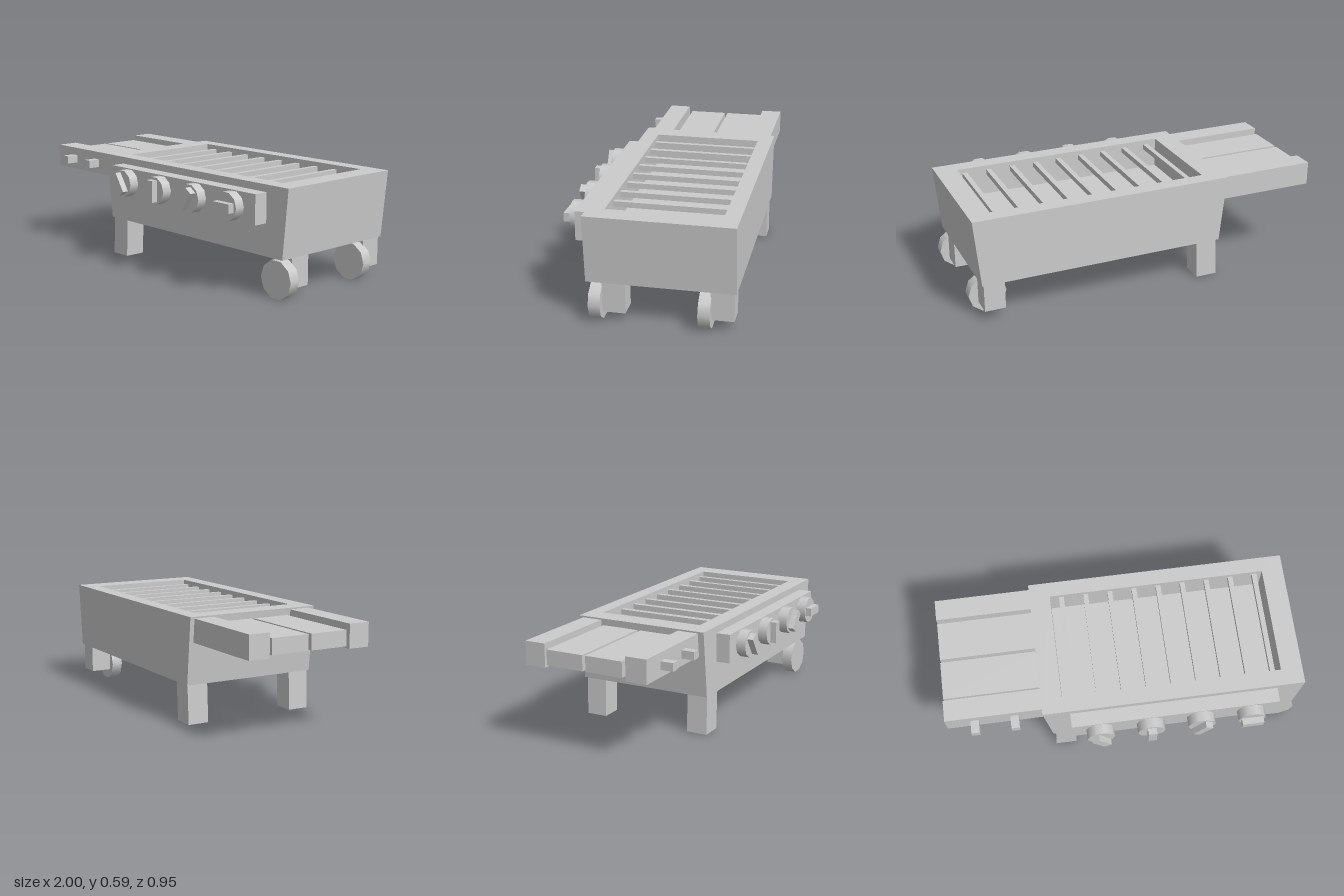
import * as THREE from 'three';

const material = new THREE.MeshStandardMaterial({ color: 0xcccccc });

function add(parent, name, geometry, x = 0, y = 0, z = 0) {
  const mesh = new THREE.Mesh(geometry, material);
  mesh.name = name;
  mesh.position.set(x, y, z);
  parent.add(mesh);
  return mesh;
}

// Box given by its extents on each axis
function block(parent, name, [x0, x1], [y0, y1], [z0, z1]) {
  return add(parent, name, new THREE.BoxGeometry(x1 - x0, y1 - y0, z1 - z0),
    (x0 + x1) / 2, (y0 + y1) / 2, (z0 + z1) / 2);
}

// Ten-sided disc facing the front, with a flat side on top
function disc(radius, depth) {
  return new THREE.CylinderGeometry(radius, radius, depth, 10, 1, false, Math.PI / 10)
    .rotateX(Math.PI / 2);
}

function rectangle(PathType, x0, x1, y0, y1) {
  return new PathType([[x0, y0], [x1, y0], [x1, y1], [x0, y1]]
    .map(([x, y]) => new THREE.Vector2(x, y)));
}

// Fire box: open rim whose ends slope inwards towards the bottom
function fireBoxGeometry() {
  const plan = rectangle(THREE.Shape, -0.465, 0.99, -0.305, 0.475);
  plan.holes.push(rectangle(THREE.Path, -0.35, 0.87, -0.215, 0.39));
  const geometry = new THREE.ExtrudeGeometry(plan, { depth: 0.372, bevelEnabled: false });
  geometry.rotateX(-Math.PI / 2).translate(0, 0.217, 0);
  const p = geometry.attributes.position;
  for (let i = 0; i < p.count; i++) {
    if (p.getY(i) > 0.3) continue;
    if (p.getX(i) < -0.4) p.setX(i, -0.425);
    if (p.getX(i) > 0.9) p.setX(i, 0.955);
  }
  geometry.computeVertexNormals();
  return geometry;
}

export function createModel() {
  const grill = new THREE.Group();
  grill.name = 'grill';

  // Body and cooking well
  add(grill, 'fireBox', fireBoxGeometry());
  block(grill, 'wellFloor', [-0.35, 0.87], [0.217, 0.42], [-0.39, 0.215]);
  for (let i = 0; i < 9; i++) {
    const x = -0.285 + i * 0.139;
    block(grill, 'grateBar', [x - 0.014, x + 0.014], [0.535, 0.565], [-0.39, 0.215]);
  }

  // Control panel with turned knobs
  block(grill, 'controlPanel', [-0.315, 0.84], [0.39, 0.55], [0.3, 0.385]);
  [0.58, 0, -0.62, Math.PI / 2].forEach((turn, i) => {
    const knob = new THREE.Group();
    knob.name = 'knob';
    knob.position.set(-0.16 + i * 0.281, 0.471, 0);
    add(knob, 'knobDisc', disc(0.077, 0.058), 0, 0, 0.411);
    const grip = block(knob, 'knobGrip', [-0.024, 0.024], [-0.06, 0.06], [0.43, 0.475]);
    grip.rotation.z = turn;
    grill.add(knob);
  });

  // Side table: two tall rails with lower planks between, and pegs in front
  for (const z of [[-0.45, -0.332], [0.15, 0.27]])
    block(grill, 'tableRail', [-1, -0.43], [0.45, 0.58], z);
  for (const z of [[-0.32, -0.103], [-0.085, 0.13]])
    block(grill, 'tablePlank', [-1, -0.43], [0.465, 0.55], z);
  for (const x of [-0.84, -0.62])
    block(grill, 'peg', [x - 0.023, x + 0.023], [0.49, 0.535], [0.26, 0.342]);

  // Splayed legs on the right
  for (const z of [[0.18, 0.3], [-0.465, -0.345]]) {
    const leg = block(grill, 'leg', [-0.42, -0.3], [0, 0.22], z);
    const p = leg.geometry.attributes.position;
    for (let i = 0; i < p.count; i++)
      if (p.getY(i) > 0) p.setX(i, p.getX(i) + 0.01);
    leg.geometry.computeVertexNormals();
  }

  // Wheels and their supports on the left
  block(grill, 'wheelSupport', [0.83, 0.945], [0.05, 0.22], [0.1, 0.222]);
  block(grill, 'wheelSupport', [0.83, 0.945], [0.06, 0.22], [-0.465, -0.34]);
  for (const z of [0.253, -0.315])
    add(grill, 'wheel', disc(0.105, 0.063), 0.892, 0.1, z);

  return grill;
}
